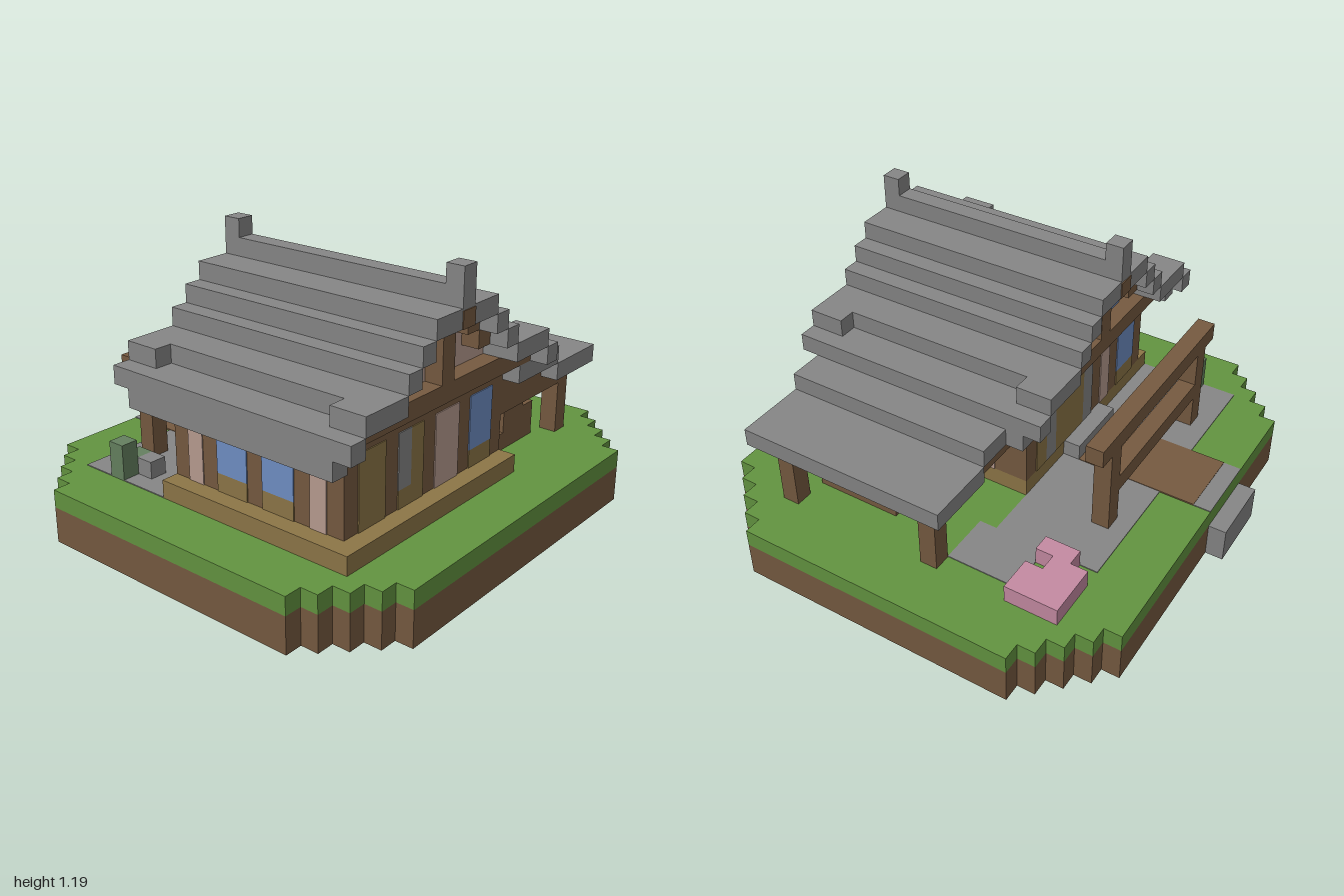
import * as THREE from 'three';

const V = 2 / 27; // size of one block

const mat = (name, color) => {
  const m = new THREE.MeshStandardMaterial({ color });
  m.name = name;
  return m;
};

export function createModel() {
  const grey = mat('slate grey', 0x868686);
  const green = mat('grass green', 0x639440);
  const brown = mat('timber brown', 0x765a40);
  const tan = mat('light wood', 0x8d7647);
  const plaster = mat('plaster', 0xb89c90);
  const blue = mat('window blue', 0x708fc4);
  const pink = mat('blossom pink', 0xc48aa2);
  const leaf = mat('bush green', 0x65805f);

  const model = new THREE.Group();
  model.name = 'gardenHouse';
  const group = (name) => {
    const g = new THREE.Group();
    g.name = name;
    model.add(g);
    return g;
  };

  // box between block coordinates; z counts from the back
  const box = (parent, name, m, x0, x1, y0, y1, z0, z1) => {
    const mesh = new THREE.Mesh(new THREE.BoxGeometry((x1 - x0) * V, (y1 - y0) * V, (z1 - z0) * V), m);
    mesh.position.set(((x0 + x1) / 2 - 13.5) * V, ((y0 + y1) / 2) * V, ((z0 + z1) / 2 - 12.5) * V);
    mesh.name = name;
    parent.add(mesh);
  };
  // the same box on both sides of the house's ridge
  const pair = (parent, name, m, x0, x1, ...rest) => {
    box(parent, name, m, x0, x1, ...rest);
    box(parent, name, m, 21 - x1, 21 - x0, ...rest);
  };

  // island with stepped corners
  const outline = new THREE.Shape();
  const pts = [];
  for (let i = 0; i < 5; i++) pts.push([4 - i, 1 + i], [4 - i, 2 + i]);
  pts.pop();
  const left = [...pts, ...pts.map(([x, z]) => [x, 26 - z]).reverse()];
  const ring = [...left, ...left.map(([x, z]) => [27 - x, z]).reverse()];
  outline.setFromPoints(ring.map(([x, z]) => new THREE.Vector2((x - 13.5) * V, (12.5 - z) * V)));
  const ground = group('ground');
  const layer = (name, m, y0, y1) => {
    const geo = new THREE.ExtrudeGeometry(outline, { depth: (y1 - y0) * V, bevelEnabled: false });
    geo.rotateX(-Math.PI / 2);
    const mesh = new THREE.Mesh(geo, m);
    mesh.position.y = y0 * V;
    mesh.name = name;
    ground.add(mesh);
  };
  layer('soil', brown, 0, 2);
  layer('grass', green, 2, 3);
  box(ground, 'step', grey, 9, 13, 0, 2, 0, 1);
  box(ground, 'pathEdge', grey, 9, 13, 3, 3.05, 1, 2);
  box(ground, 'path', brown, 9, 13, 3, 3.08, 2, 9);
  box(ground, 'paving', grey, 3, 20, 3, 3.05, 4, 10);
  box(ground, 'pavingSide', grey, 20, 23, 3, 3.05, 7, 11);
  box(ground, 'doorstep', grey, 9, 13, 3, 4, 9, 10);
  box(ground, 'stone', grey, 4, 5, 3, 4, 7, 8);

  // plants
  const plants = group('plants');
  box(plants, 'flowerBed', pink, 21, 24, 3, 4, 4, 6);
  box(plants, 'flowerBed', pink, 20, 21, 3, 4, 5, 7);
  box(plants, 'flowerBed', pink, 22, 24, 3, 4, 6, 7);
  box(plants, 'bush', leaf, 3, 5, 3, 4, 6, 7);
  box(plants, 'bushTop', leaf, 3, 4, 4, 5, 6, 7);

  // garden gate
  const gate = group('gate');
  for (const x of [6, 16]) box(gate, 'gatePost', brown, x, x + 1, 3, 8, 5, 6);
  box(gate, 'gateTopBeam', brown, 5, 18, 8, 9, 5, 6);
  box(gate, 'gateLowerBeam', brown, 7, 16, 5, 6, 5, 6);

  // house body
  const house = group('house');
  box(house, 'sill', tan, 3, 17, 3, 4, 10, 22);
  box(house, 'walls', brown, 4, 17, 4, 9, 10, 21);

  // thin panels: [from, to, bottom, top, material]
  const T = 0.06;
  const panels = (name, side, list) => {
    for (const [a, b, y0, y1, m] of list) {
      if (side === 'front') box(house, name, m, a, b, y0, y1, 21, 21 + T);
      if (side === 'back') box(house, name, m, a, b, y0, y1, 10 - T, 10);
      if (side === 'left') box(house, name, m, 17, 17 + T, y0, y1, a, b);
      if (side === 'right') box(house, name, m, 4 - T, 4, y0, y1, a, b);
    }
  };
  panels('frontPanel', 'front', [
    [5, 7, 4, 8, tan], [8, 9, 4, 5, tan], [8, 9, 5, 8, grey], [9, 10, 4, 8, tan],
    [11, 13, 4, 8, plaster], [14, 16, 4, 5, tan], [14, 16, 5, 8, blue],
  ]);
  panels('backPanel', 'back', [
    [5, 7, 4, 5, tan], [5, 7, 5, 8, blue], [8, 9, 4, 8, plaster],
    [10, 11, 4, 8, grey], [11, 14, 4, 8, tan], [14, 15, 4, 8, grey], [15, 16, 4, 8, tan],
  ]);
  panels('leftPanel', 'left', [
    [12, 13, 4, 8, plaster], [14, 17, 4, 5, tan], [14, 17, 5, 8, blue], [18, 20, 4, 8, tan],
  ]);
  panels('rightPanel', 'right', [
    [11, 12, 4, 8, plaster], [13, 15, 4, 5, tan], [13, 15, 5, 8, blue],
    [16, 18, 4, 5, tan], [16, 18, 5, 8, blue], [19, 20, 4, 8, plaster],
  ]);

  // gables with timber framing
  const gable = group('gables');
  box(gable, 'gableBeam', brown, 4, 17, 9, 10, 9, 22);
  for (let i = 0; i < 3; i++) box(gable, 'gableWall', plaster, 6 + i, 15 - i, 10 + i, 11 + i, 10, 21);
  for (const [z0, z1] of [[9, 10], [21, 22]]) {
    pair(gable, 'beamEnd', brown, 3, 4, 9, 10, z0, z1);
    pair(gable, 'lowerRafter', brown, 7, 8, 11, 12, z0, z1);
    pair(gable, 'upperRafter', brown, 8, 9, 12, 13, z0, z1);
    box(gable, 'kingPost', brown, 10, 11, 10, 13, z0, z1);
  }
  box(gable, 'ridgeBeam', brown, 10, 11, 13, 13.9, 7.95, 23.05);
  pair(gable, 'gableWindow', blue, 7.2, 9, 10, 11, 9.94, 10);

  // stepped main roof
  const roof = group('roof');
  box(roof, 'ridgeCap', grey, 8, 13, 13, 14, 8, 23);
  box(roof, 'ridge', grey, 10, 11, 14, 15, 8, 23);
  for (const z of [8, 22]) box(roof, 'finial', grey, 10, 11, 15, 16, z, z + 1);
  pair(roof, 'upperTier', grey, 7, 8, 12, 13, 8, 23);
  pair(roof, 'middleTier', grey, 6, 7, 11, 12, 8, 23);
  pair(roof, 'lowerTier', grey, 4, 6, 10, 11, 8, 23);
  for (const z of [8, 21]) pair(roof, 'raisedCorner', grey, 3, 4, 10, 11, z, z + 2);
  pair(roof, 'eave', grey, 2, 3, 9, 10, 8, 23);
  pair(roof, 'eaveInner', grey, 3, 4, 9, 10, 10, 21);
  pair(roof, 'eaveDrop', grey, 2, 3, 8, 9, 9, 22);

  // side shelter
  const shelter = group('shelter');
  box(shelter, 'shelterRoofUpper', grey, 17, 21, 8, 9, 10, 22);
  box(shelter, 'shelterRoofLower', grey, 21, 25, 7, 8, 10, 22);
  for (const z of [11, 20]) {
    box(shelter, 'shelterPost', brown, 23, 24, 3, 6, z, z + 1);
    box(shelter, 'shelterCrossBeam', brown, 17, 23, 6, 7, z, z + 1);
    box(shelter, 'shelterUpperBeam', brown, 17, 21, 7, 8, z, z + 1);
  }
  box(shelter, 'shelterSideBeam', brown, 23, 24, 6, 7, 11, 21);

  // stacked wood under the shelter
  box(shelter, 'woodStack', brown, 19, 21, 3, 6, 15, 20);
  box(shelter, 'woodStackSide', brown, 21, 22, 3, 5, 15, 20);
  box(shelter, 'woodStackEnd', brown, 18, 19, 3, 4, 15, 20);

  return model;
}
